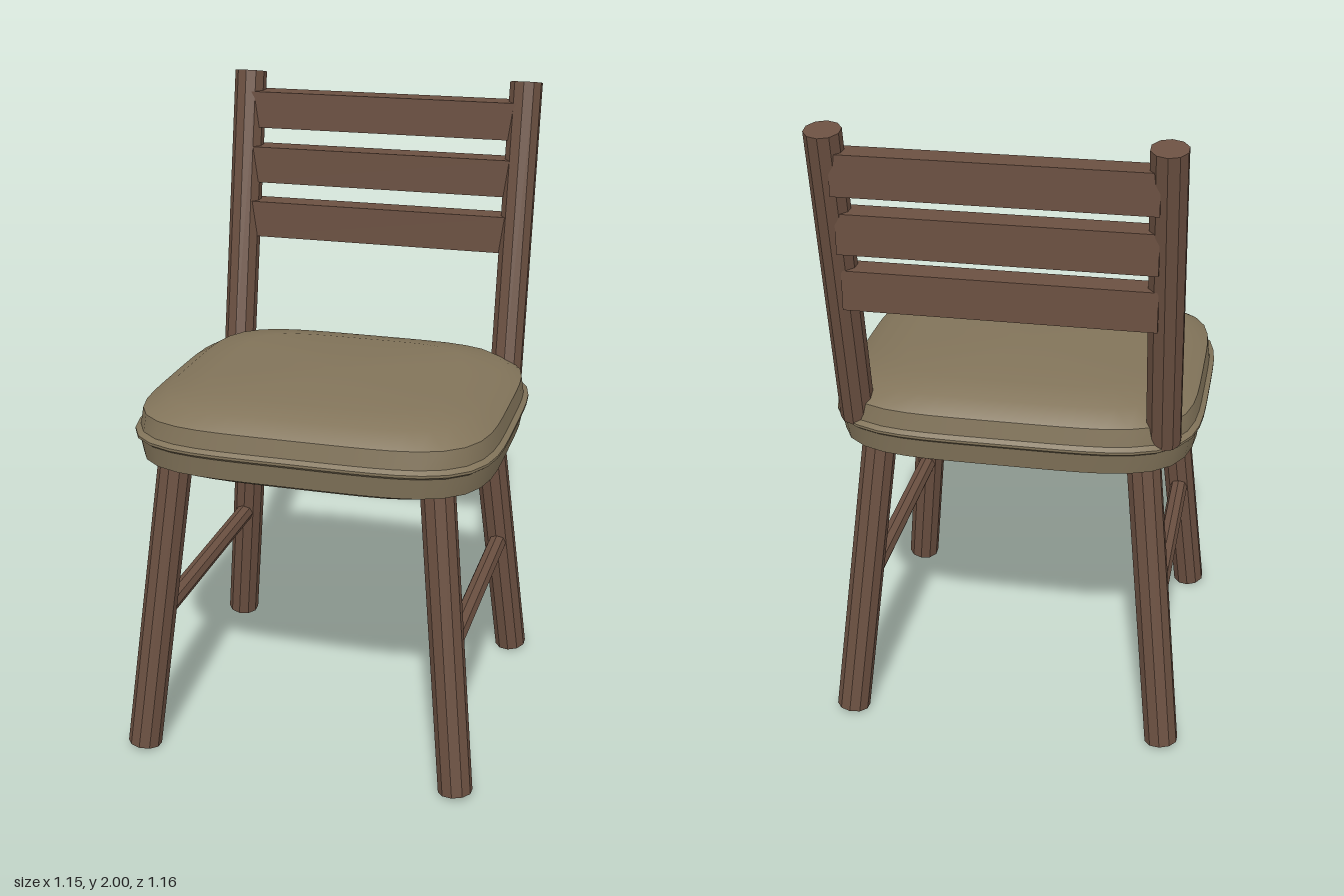
import * as THREE from 'three';
import { toCreasedNormals } from 'three/addons/utils/BufferGeometryUtils.js';

const wood = new THREE.MeshStandardMaterial({ color: 0x6b5041 });
wood.name = 'darkWood';
const fabric = new THREE.MeshStandardMaterial({ color: 0x82745a });
fabric.name = 'oliveFabric';

// Faceted round bar between two points
function bar(name, from, to, radius, sides) {
  const a = new THREE.Vector3(...from), b = new THREE.Vector3(...to);
  const dir = b.clone().sub(a);
  const geo = new THREE.CylinderGeometry(radius, radius, dir.length(), sides).toNonIndexed();
  geo.computeVertexNormals();
  const mesh = new THREE.Mesh(geo, wood);
  mesh.name = name;
  mesh.position.copy(a).add(b).multiplyScalar(0.5);
  mesh.quaternion.setFromUnitVectors(new THREE.Vector3(0, 1, 0), dir.normalize());
  return mesh;
}

// Cushion: rounded-square rings stacked from the underside to the top
function cushion() {
  const rings = [ // half width, half depth, height
    [0.36, 0.31, 0.91], [0.49, 0.425, 0.925], [0.553, 0.484, 0.955],
    [0.563, 0.494, 1.02], [0.573, 0.503, 1.028], [0.573, 0.503, 1.036], [0.558, 0.489, 1.046],
    [0.55, 0.48, 1.1], [0.485, 0.425, 1.14], [0.37, 0.325, 1.16],
  ];
  const segs = 56, n = 4.5, zMid = 0.047;
  const pos = [], index = [];
  for (const [a, b, y] of rings) {
    for (let i = 0; i < segs; i++) {
      const t = (i / segs) * Math.PI * 2, c = Math.cos(t), s = Math.sin(t);
      const r = (Math.abs(c / a) ** n + Math.abs(s / b) ** n) ** (-1 / n);
      pos.push(r * c, y, zMid + r * s);
    }
  }
  const last = (rings.length - 1) * segs, bottom = rings.length * segs, top = bottom + 1;
  pos.push(0, 0.907, zMid, 0, 1.163, zMid);
  for (let i = 0; i < segs; i++) {
    const j = (i + 1) % segs;
    for (let k = 0; k < last; k += segs) {
      index.push(k + i, k + segs + i, k + j, k + j, k + segs + i, k + segs + j);
    }
    index.push(bottom, i, j, top, last + j, last + i);
  }
  const geo = new THREE.BufferGeometry();
  geo.setAttribute('position', new THREE.Float32BufferAttribute(pos, 3));
  geo.setIndex(index);
  const mesh = new THREE.Mesh(toCreasedNormals(geo, 0.5), fabric);
  mesh.name = 'seatCushion';
  return mesh;
}

export function createModel() {
  const chair = new THREE.Group();
  chair.name = 'chair';
  chair.add(cushion());

  // Splayed legs, side stretchers and leaning back posts
  for (const [side, s] of [['left', 1], ['right', -1]]) {
    chair.add(
      bar(side + 'FrontLeg', [s * 0.508, 0.008, 0.528], [s * 0.408, 0.96, 0.418], 0.053, 10),
      bar(side + 'BackLeg', [s * 0.508, 0.008, -0.437], [s * 0.408, 0.96, -0.322], 0.053, 10),
      bar(side + 'Stretcher', [s * 0.462, 0.44, 0.475], [s * 0.462, 0.44, -0.385], 0.03, 8),
      bar(side + 'BackPost', [s * 0.468, 1.04, -0.347], [s * 0.468, 1.99, -0.53], 0.053, 10),
    );
  }

  // Upright back slats, each set a little further back
  for (let i = 0; i < 3; i++) {
    const slat = new THREE.Mesh(new THREE.BoxGeometry(0.9, 0.12, 0.085), wood);
    slat.name = 'backSlat' + (i + 1);
    slat.position.set(0, 1.51 + i * 0.18, -0.453 - i * 0.03);
    chair.add(slat);
  }
  return chair;
}
